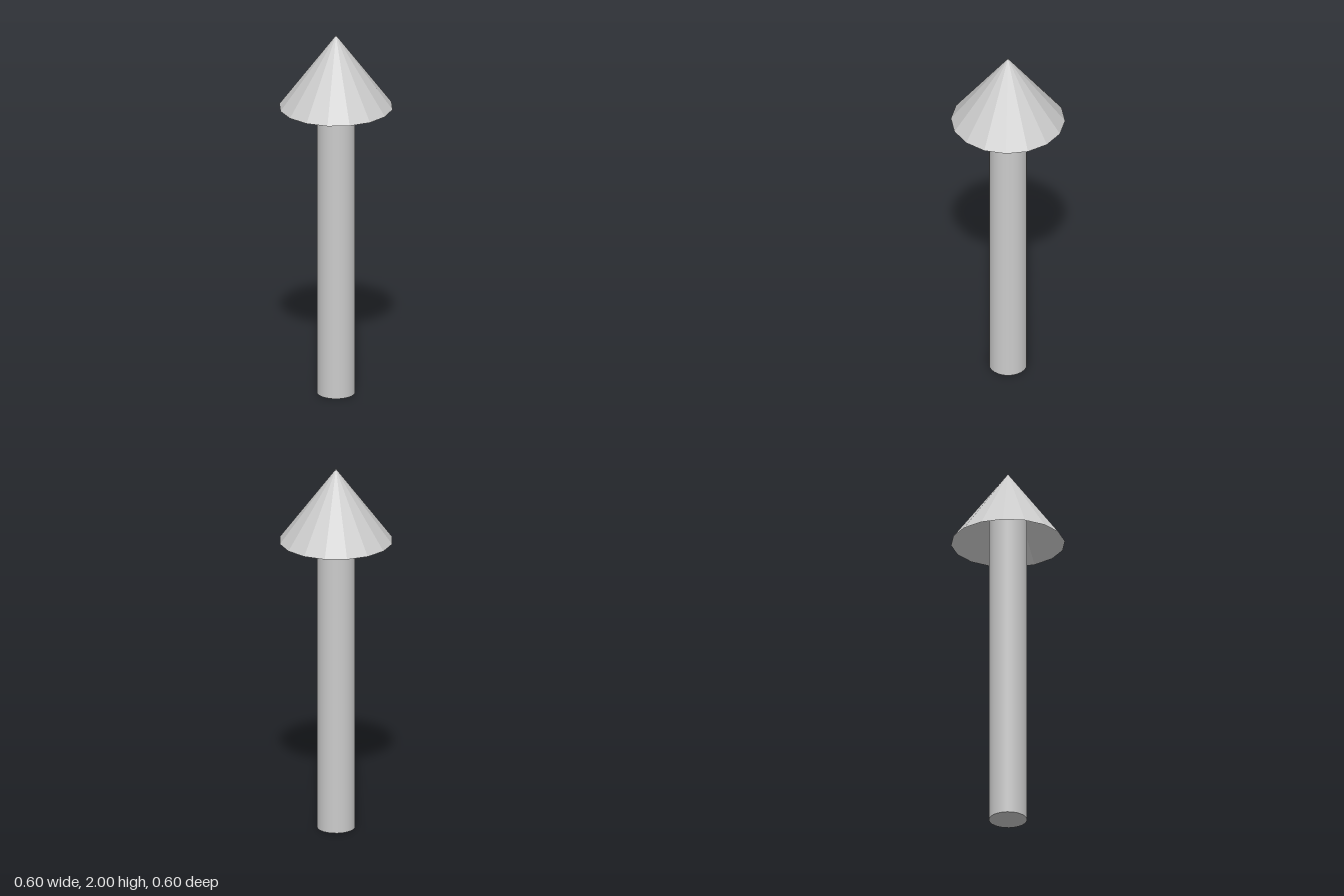
import * as THREE from 'three';

export function createModel() {
  const model = new THREE.Group();
  const add = (name, geometry, y, options) => {
    const mesh = new THREE.Mesh(geometry, new THREE.MeshStandardMaterial({ color: 0xcccccc, ...options }));
    mesh.name = name;
    mesh.position.y = y;
    model.add(mesh);
  };

  // Round shaft, its top hidden inside the hollow head
  const shaftHeight = 1.8;
  add('shaft', new THREE.CylinderGeometry(0.1, 0.1, shaftHeight, 24), shaftHeight / 2);

  // Faceted 16-sided head, open underneath and slightly turned
  add('arrowHead', new THREE.ConeGeometry(0.3, 0.4, 16, 1, true, 0.1), 1.8,
    { flatShading: true, side: THREE.DoubleSide });

  return model;
}
